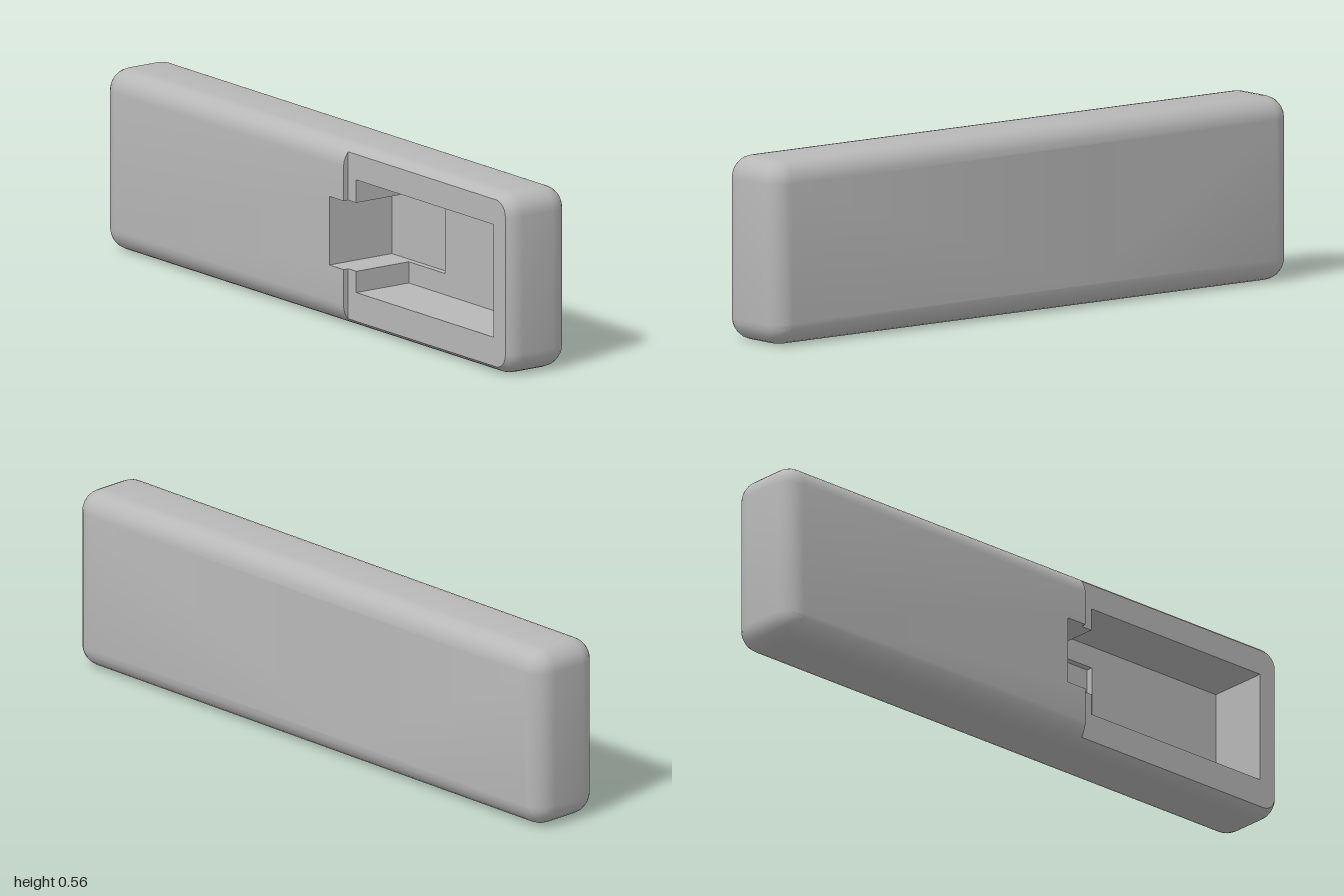
import * as THREE from 'three';
import { mergeGeometries, toCreasedNormals } from 'three/addons/utils/BufferGeometryUtils.js';

const HX = 1, H = 0.555, HZ = 0.1225, R = 0.067;   // overall half length, height, half depth, edge radius
const STEP_X = 0.2, STEP_Z = 0.105;                // recessed front panel
const POCKET_Z = -0.09, NOTCH_Z = -0.11;           // cavity floors
const SEG = 6;

// Rounded rectangle, anticlockwise, beginning on the bottom edge at STEP_X
function outline(angle) {
  const inset = R * (1 - Math.cos(angle)), r = R * Math.cos(angle);
  const corner = (cx, cy, start) => Array.from({ length: SEG + 1 }, (_, i) => {
    const t = start + (i / SEG) * Math.PI / 2;
    return [cx + r * Math.cos(t), cy + r * Math.sin(t)];
  });
  const q = Math.PI / 2;
  return [
    [STEP_X, inset], ...corner(HX - R, R, -q), ...corner(HX - R, H - R, 0),
    [STEP_X, H - inset], ...corner(-HX + R, H - R, q), ...corner(-HX + R, R, 2 * q),
    [STEP_X, inset],
  ];
}
const HALF = 2 * (SEG + 1) + 1; // index of the top point at STEP_X
const zAt = (angle) => HZ - R + R * Math.sin(angle);

// Skin between successive open rings of [x, y] points at given heights z
function loft(rings, zs) {
  const p = [];
  for (let k = 0; k + 1 < rings.length; k++) {
    for (let i = 0; i + 1 < rings[k].length; i++) {
      const a = [...rings[k][i], zs[k]], b = [...rings[k][i + 1], zs[k]];
      const c = [...rings[k + 1][i + 1], zs[k + 1]], d = [...rings[k + 1][i], zs[k + 1]];
      p.push(...a, ...b, ...c, ...a, ...c, ...d);
    }
  }
  const g = new THREE.BufferGeometry();
  g.setAttribute('position', new THREE.Float32BufferAttribute(p, 3));
  return g;
}

// Flat face looking towards +z
function face(points, z) {
  const shape = new THREE.Shape(points.map(([x, y]) => new THREE.Vector2(x, y)));
  const g = new THREE.ShapeGeometry(shape).toNonIndexed().translate(0, 0, z);
  g.deleteAttribute('uv');
  g.deleteAttribute('normal');
  return g;
}

const rect = (x0, x1, y0, y1) => [[x0, y0], [x0, y1], [x1, y1], [x1, y0], [x0, y0]]; // clockwise

export function createModel() {
  const group = new THREE.Group();
  const grey = new THREE.MeshStandardMaterial({ color: 0xb8b8b8 });
  grey.name = 'grey plastic';
  const add = (name, parts) => {
    const mesh = new THREE.Mesh(toCreasedNormals(mergeGeometries(parts), 0.5), grey);
    mesh.name = name;
    group.add(mesh);
  };

  // Cavity dimensions: wide pocket with a deeper notch crossing the step
  const [nx0, nx1, ny0, ny1] = [0.13, 0.42, 0.175, 0.385];
  const [px0, px1, py0, py1] = [0.24, 0.92, 0.11, 0.455];

  // Edge rounding angles, with the step level as one of them
  const stepAngle = Math.asin((STEP_Z - HZ + R) / R);
  const low = [0, 1, 2, 3, 4].map((i) => (i / 4) * stepAngle);
  const high = [0, 1, 2, 3].map((i) => stepAngle + (i / 3) * (Math.PI / 2 - stepAngle));
  const back = Array.from({ length: SEG + 1 }, (_, i) => (1 - i / SEG) * Math.PI / 2);
  const lip = high.map(outline);
  const lipZ = high.map(zAt);

  // Body: back, sides, and the taller front half
  const leftRings = lip.map((o) => o.slice(HALF));
  add('body', [
    face(outline(Math.PI / 2).slice(0, -1), HZ).rotateY(Math.PI),
    loft([...back, ...low].map(outline), [...back.map((a) => -zAt(a)), ...low.map(zAt)]),
    loft(leftRings, lipZ),
    face([...leftRings.at(-1), [STEP_X, ny0], [nx0, ny0], [nx0, ny1], [STEP_X, ny1]], HZ),
  ]);

  // Step wall, split by the notch
  add('stepWall', [
    loft(lip.map((o) => [o[0], [STEP_X, ny0]]), lipZ),
    loft(lip.map((o) => [[STEP_X, ny1], o[HALF]]), lipZ),
  ]);

  // Lower front panel around the pocket
  add('recessedPanel', [face([
    ...outline(stepAngle).slice(0, HALF + 1), [STEP_X, ny1], [px0, ny1], [px0, py1],
    [px1, py1], [px1, py0], [px0, py0], [px0, ny0], [STEP_X, ny0],
  ], STEP_Z)]);

  // Pocket walls and floor
  const rim = [[nx0, ny0], [nx0, ny1], [px0, ny1], [px0, py1], [px1, py1],
    [px1, py0], [px0, py0], [px0, ny0], [nx0, ny0]];
  const slot = [[STEP_X, ny0], [nx0, ny0], [nx0, ny1], [STEP_X, ny1]];
  add('pocket', [
    loft([rim, rim], [POCKET_Z, STEP_Z]),
    loft([slot, slot], [STEP_Z, HZ]),
    face([[px0, py0], [px1, py0], [px1, py1], [px0, py1],
      [px0, ny1], [nx1, ny1], [nx1, ny0], [px0, ny0]], POCKET_Z),
  ]);

  // Deeper notch
  const notch = rect(nx0, nx1, ny0, ny1);
  add('notch', [
    loft([notch, notch], [NOTCH_Z, POCKET_Z]),
    face(notch.slice(0, -1), NOTCH_Z),
  ]);

  return group;
}
